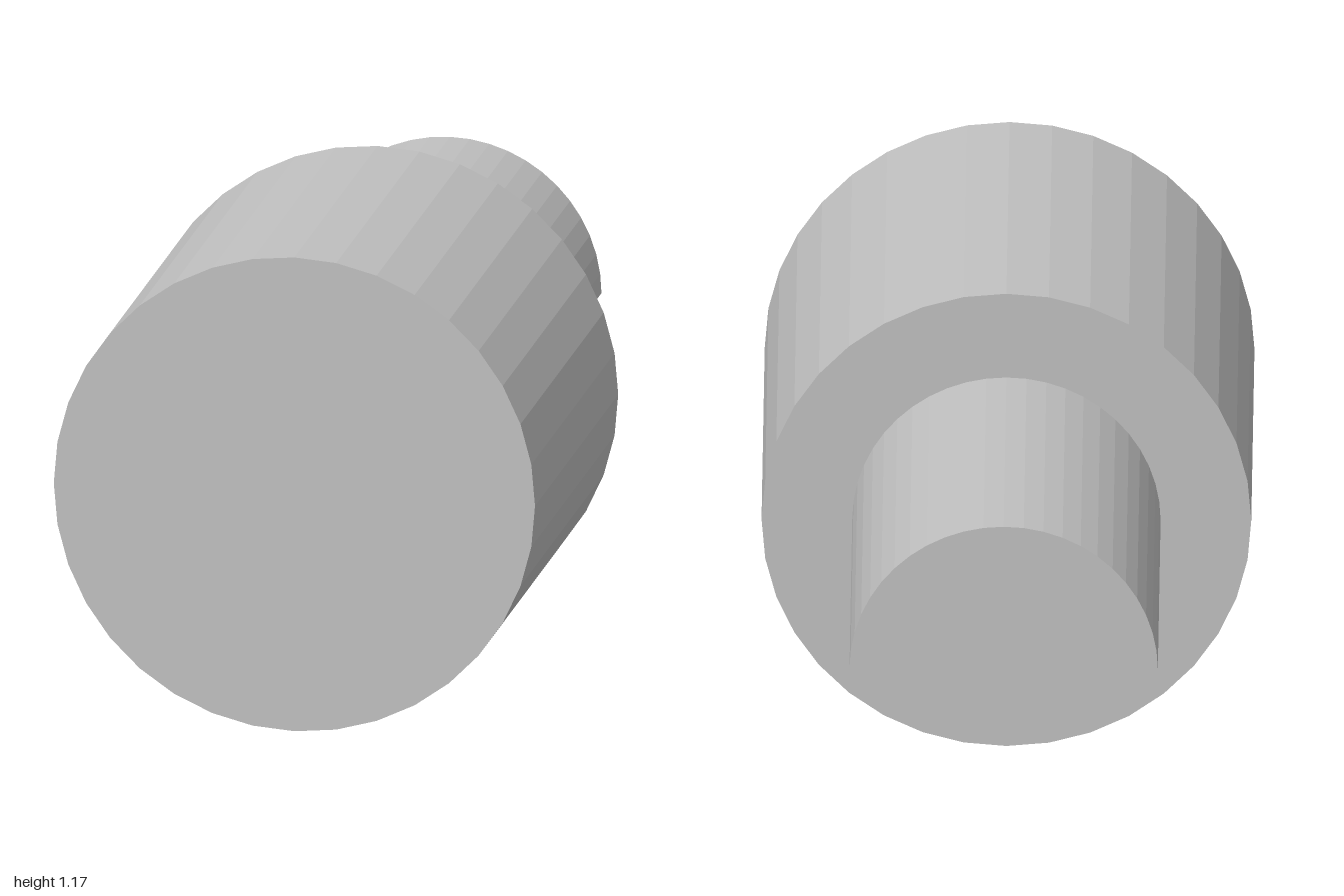
import * as THREE from 'three';

export function createModel() {
  const model = new THREE.Group();
  const gray = new THREE.MeshStandardMaterial({ color: 0xc0c0c0, flatShading: true });
  gray.name = 'plain gray';

  const bodyRadius = 0.586, shaftRadius = 0.369;
  const front = 1, step = -0.07, back = -1;

  // Large round body lying along z
  const bodyGeometry = new THREE.CylinderGeometry(bodyRadius, bodyRadius, front - step, 36);
  bodyGeometry.rotateX(Math.PI / 2);
  const body = new THREE.Mesh(bodyGeometry, gray);
  body.name = 'body';
  body.position.set(0, bodyRadius, (front + step) / 2);
  model.add(body);

  // Half-round shaft behind the body, its flat side on the body's axis
  const halfDisc = new THREE.Shape();
  halfDisc.absarc(0, 0, shaftRadius, 0, Math.PI, false);
  halfDisc.closePath();
  const shaftGeometry = new THREE.ExtrudeGeometry(halfDisc, {
    depth: step - back, bevelEnabled: false, curveSegments: 12,
  });
  const shaft = new THREE.Mesh(shaftGeometry, gray);
  shaft.name = 'halfRoundShaft';
  shaft.position.set(0, bodyRadius, back);
  model.add(shaft);

  return model;
}
